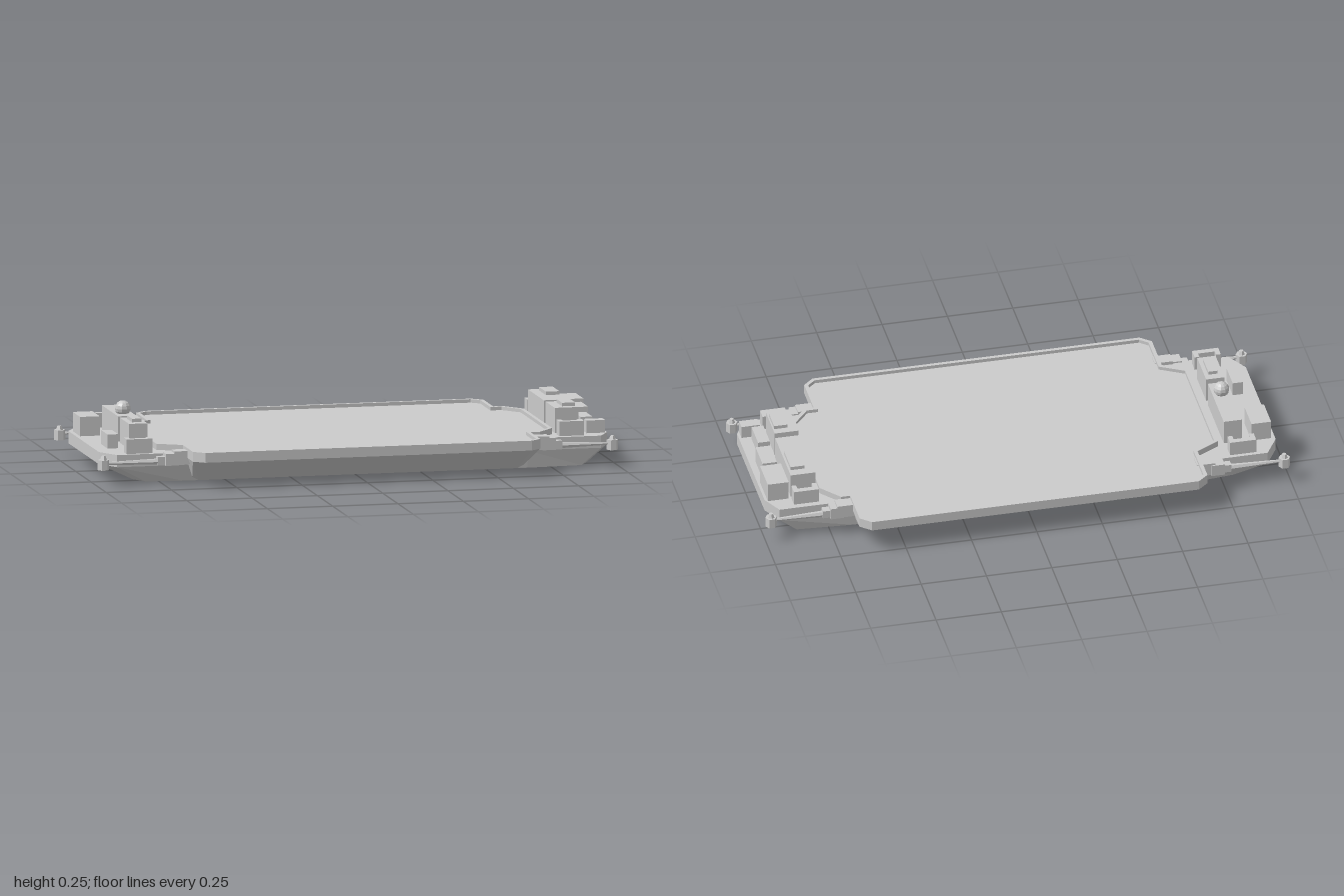
import * as THREE from 'three';

const material = new THREE.MeshStandardMaterial({ color: 0xcccccc, flatShading: true, side: THREE.DoubleSide });

function add(parent, name, geometry, x = 0, y = 0, z = 0) {
  const mesh = new THREE.Mesh(geometry, material);
  mesh.name = name;
  mesh.position.set(x, y, z);
  parent.add(mesh);
  return mesh;
}

// Complete a half outline (z > 0, from +x to -x) by mirroring it in z
const mirrored = (half) => [...half, ...half.map(([x, z]) => [x, -z]).reverse()];

// Closed solid through stacked outlines: [[y, loop], ...] from bottom to top
function loft(levels) {
  const pos = [];
  const tri = (...pts) => pts.forEach((p) => pos.push(...p));
  const at = ([y, loop], i) => { const p = loop[i % loop.length]; return [p[0], y, p[1]]; };
  for (let k = 0; k < levels.length - 1; k++) {
    for (let i = 0; i < levels[k][1].length; i++) {
      const a = at(levels[k], i), b = at(levels[k], i + 1);
      const c = at(levels[k + 1], i + 1), d = at(levels[k + 1], i);
      tri(a, d, c);
      tri(a, c, b);
    }
  }
  const cap = (level, up) => {
    const contour = level[1].map(([x, z]) => new THREE.Vector2(x, z));
    for (const [a, b, c] of THREE.ShapeUtils.triangulateShape(contour, [])) {
      tri(at(level, a), at(level, up ? c : b), at(level, up ? b : c));
    }
  };
  cap(levels[0], false);
  cap(levels[levels.length - 1], true);
  const g = new THREE.BufferGeometry();
  g.setAttribute('position', new THREE.Float32BufferAttribute(pos, 3));
  g.computeVertexNormals();
  return g;
}

// Shrink a loop inward by d with mitred corners
function inset(loop, d) {
  const n = loop.length;
  const normal = (a, b) => {
    const l = Math.hypot(b[0] - a[0], b[1] - a[1]);
    return [-(b[1] - a[1]) / l, (b[0] - a[0]) / l];
  };
  return loop.map((p, i) => {
    const u = normal(loop[(i + n - 1) % n], p), v = normal(p, loop[(i + 1) % n]);
    const k = d / (1 + u[0] * v[0] + u[1] * v[1]);
    return [p[0] + (u[0] + v[0]) * k, p[1] + (u[1] + v[1]) * k];
  });
}

// Box given by its limits
function block(parent, name, x0, x1, z0, z1, top, bottom = 0.105) {
  return add(parent, name, new THREE.BoxGeometry(x1 - x0, top - bottom, z1 - z0),
    (x0 + x1) / 2, (top + bottom) / 2, (z0 + z1) / 2);
}

// Mooring arm: mount, tapered boom and a pointed hexagonal head; dir is the x direction
function mooringArm(name, dir, mountX, headX, z) {
  const arm = new THREE.Group();
  arm.name = name;
  const length = Math.abs(headX - mountX);
  add(arm, 'armMount', new THREE.BoxGeometry(0.05, 0.045, 0.05), 0, 0.095, 0);
  add(arm, 'armShoulder', new THREE.BoxGeometry(0.045, 0.03, 0.03), dir * 0.03, 0.09, 0);
  const boom = add(arm, 'armBoom', new THREE.CylinderGeometry(0.005, 0.014, length, 6), dir * length / 2, 0.086, 0);
  boom.rotation.z = -dir * Math.PI / 2;
  add(arm, 'armHead', new THREE.CylinderGeometry(0.022, 0.022, 0.038, 6).rotateY(Math.PI / 6), dir * length, 0.081, 0);
  add(arm, 'armHeadTip', new THREE.CylinderGeometry(0.008, 0.014, 0.016, 6), dir * length, 0.107, 0);
  arm.position.set(mountX, 0, z);
  return arm;
}

export function createModel() {
  const model = new THREE.Group();
  model.name = 'floatingPlatform';

  // Long hull whose ends carry the machinery decks
  const hullTop = mirrored([[0.98, 0.23], [0.94, 0.307], [0.66, 0.307], [-0.66, 0.335], [-0.92, 0.335], [-0.97, 0.25]]);
  const hullBottom = mirrored([[0.905, 0.22], [0.87, 0.285], [0.66, 0.3], [-0.66, 0.3], [-0.8, 0.285], [-0.835, 0.22]]);
  add(model, 'hull', loft([[0, hullBottom], [0.066, hullTop], [0.112, hullTop]]));

  // Flared side wings under the landing deck
  const wingTop = mirrored([[0.67, 0.465], [0.63, 0.5], [-0.62, 0.5], [-0.66, 0.465]]);
  const wingBottom = mirrored([[0.64, 0.28], [0.62, 0.3], [-0.6, 0.3], [-0.62, 0.28]]);
  add(model, 'sideWings', loft([[0, wingBottom], [0.098, wingTop]]));

  // Landing deck with a raised rim
  const outline = mirrored([[0.77, 0.23], [0.705, 0.307], [0.67, 0.307], [0.67, 0.465], [0.63, 0.5],
    [-0.62, 0.5], [-0.66, 0.465], [-0.66, 0.3], [-0.75, 0.25]]);
  add(model, 'landingDeck', loft([[0.098, outline], [0.122, inset(outline, 0.002)]]));
  const points = (loop) => loop.map(([x, z]) => new THREE.Vector2(x, -z));
  const rim = new THREE.Shape(points(outline));
  rim.holes.push(new THREE.Path(points(inset(outline, 0.014))));
  const rimGeometry = new THREE.ExtrudeGeometry(rim, { depth: 0.037, bevelEnabled: false });
  add(model, 'deckRim', rimGeometry.rotateX(-Math.PI / 2), 0, 0.098, 0);

  // Machinery housings: x0, x1, z0, z1, top
  const housings = [
    [-0.845, -0.775, -0.235, 0.03, 0.207], [-0.955, -0.88, -0.24, -0.12, 0.185],
    [-0.92, -0.88, 0.075, 0.18, 0.165], [-0.845, -0.775, 0.06, 0.21, 0.207],
    [0.785, 0.88, -0.23, 0.03, 0.207], [0.89, 0.97, -0.24, -0.11, 0.185],
    [0.9, 0.955, -0.085, 0.03, 0.177], [0.785, 0.875, 0.06, 0.21, 0.207],
    [0.89, 0.935, 0.075, 0.185, 0.165], [0.9, 0.97, 0.2, 0.242, 0.16],
  ];
  housings.forEach((h) => block(model, 'machineryHousing', ...h));

  // Raised hatches on the tall housings
  const hatches = [[-0.825, -0.79, 0.09, 0.175], [0.82, 0.872, -0.195, -0.085], [0.82, 0.87, 0.09, 0.18]];
  hatches.forEach((h) => block(model, 'roofHatch', ...h, 0.22, 0.2));

  // Radar dome
  add(model, 'radarDome', new THREE.SphereGeometry(0.03, 10, 8), -0.81, 0.225, -0.042);

  for (const side of [-1, 1]) {
    // U-shaped equipment lockers at the outer edges of both end decks
    for (const [x0, x1, zin, zout, open] of [[-0.88, -0.78, 0.275, 0.32, 'in'], [0.785, 0.88, 0.24, 0.285, 'in']]) {
      const limits = (a, b) => (side > 0 ? [a, b] : [-b, -a]);
      block(model, 'lockerBack', x0 + 0.018, x1 - 0.018, ...limits(zout - 0.022, zout), 0.167);
      block(model, 'lockerEnd', x0, x0 + 0.018, ...limits(zin, zout), 0.167);
      block(model, 'lockerEnd', x1 - 0.018, x1, ...limits(zin, zout), 0.167);
    }
    // Mooring arms at the four corners, with the brackets that join them to the deck
    model.add(mooringArm('leftMooringArm', 1, 0.73, 0.978, side * 0.33));
    model.add(mooringArm('rightMooringArm', -1, -0.72, -0.978, side * 0.36));
    const bracket = new THREE.BoxGeometry(0.07, 0.05, 0.05);
    add(model, 'leftArmBracket', bracket, 0.695, 0.1, side * 0.33);
    add(model, 'rightArmBracket', bracket, -0.675, 0.1, side * 0.355);
  }
  return model;
}
